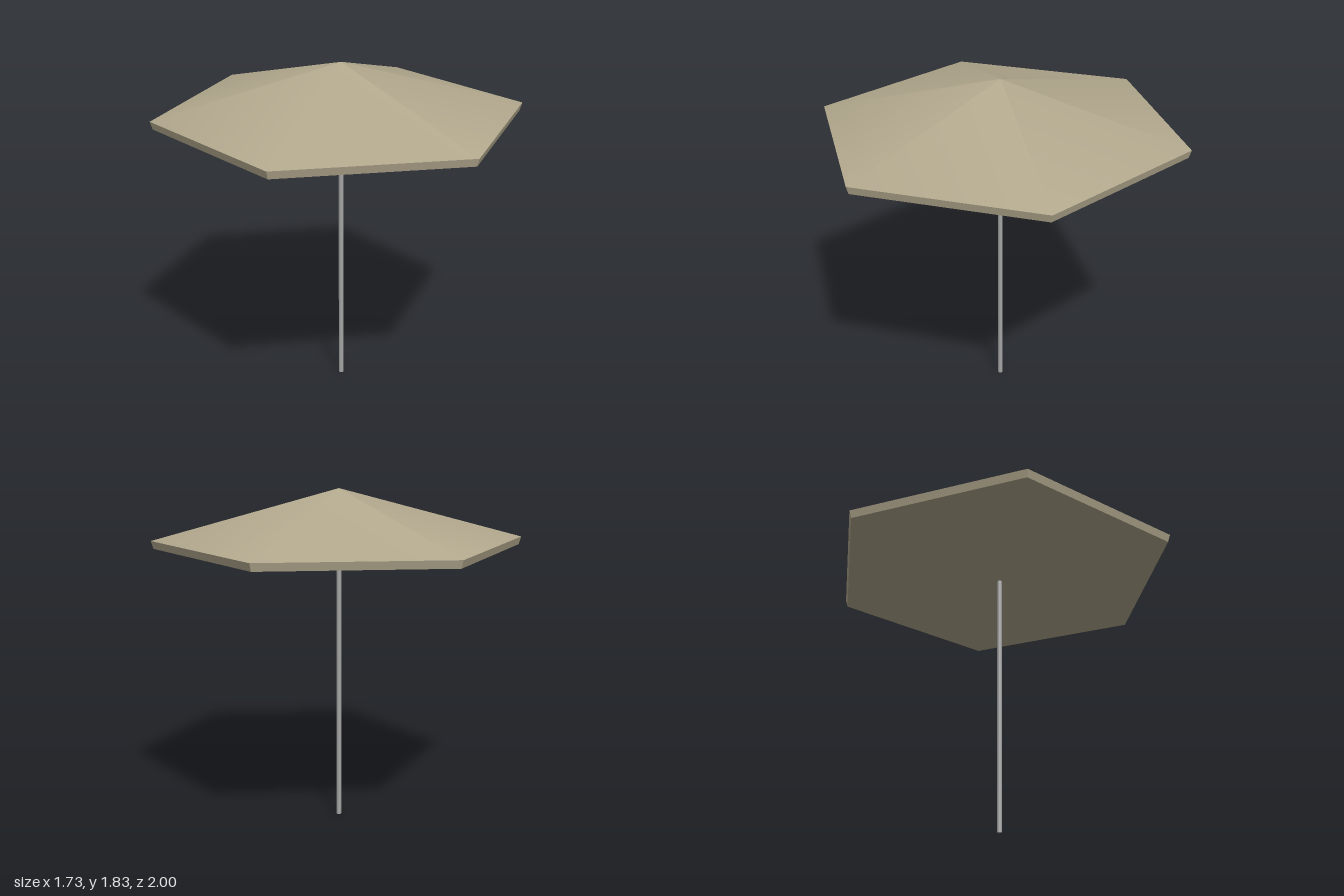
import * as THREE from 'three';

const canvas = new THREE.MeshStandardMaterial({ color: 0xb3a98e });
canvas.name = 'beige canvas';
const metal = new THREE.MeshStandardMaterial({ color: 0xa6a6a6 });
metal.name = 'grey metal';

// Open tapered ring standing between two heights, with a corner on +z
function ring(name, material, rTop, rBottom, yTop, yBottom, sides, flat) {
  let geometry = new THREE.CylinderGeometry(rTop, rBottom, yTop - yBottom, sides, 1, true);
  if (flat) {
    geometry = geometry.toNonIndexed();
    geometry.computeVertexNormals();
  }
  geometry.translate(0, (yTop + yBottom) / 2, 0);
  const mesh = new THREE.Mesh(geometry, material);
  mesh.name = name;
  return mesh;
}

export function createModel() {
  const model = new THREE.Group();
  model.name = 'parasol';

  // Hexagonal canopy: sloping top, narrow valance, shallow underside
  const canopy = new THREE.Group();
  canopy.name = 'canopy';
  canopy.add(
    ring('canopyTop', canvas, 0, 1, 1.832, 1.562, 6, false),
    ring('canopyRim', canvas, 1, 0.987, 1.562, 1.52, 6, true),
    ring('canopyUnderside', canvas, 0.987, 0, 1.52, 1.482, 6, true)
  );
  model.add(canopy);

  // Slim pole with a closed foot
  const pole = new THREE.Mesh(new THREE.CylinderGeometry(0.0135, 0.0135, 1.5, 12), metal);
  pole.name = 'pole';
  pole.position.y = 0.75;
  model.add(pole);

  return model;
}
